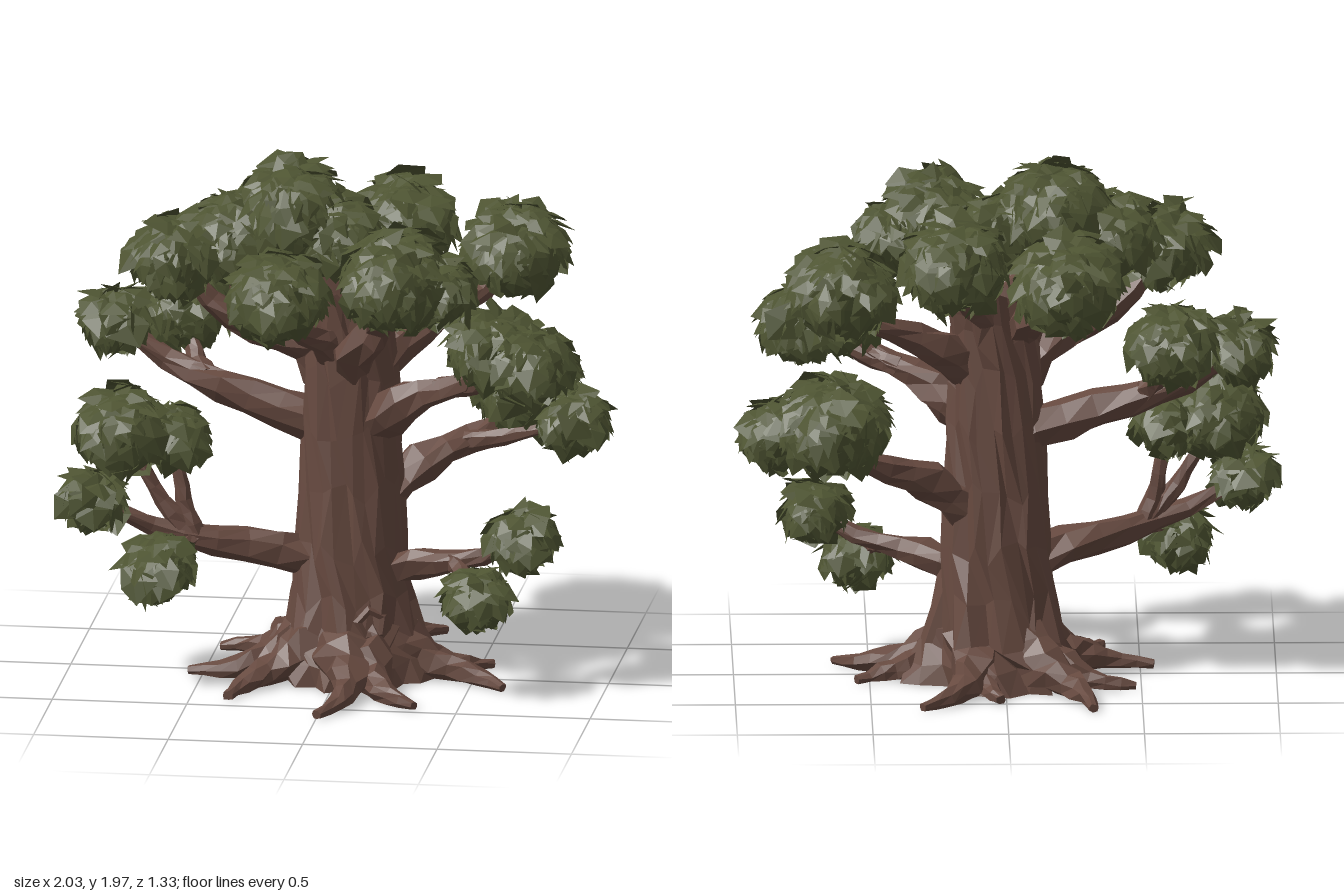
import * as THREE from 'three';

const V = (x, y, z) => new THREE.Vector3(x, y, z);

// Small seeded random generator
let seed = 7;
function rand() {
  seed = (seed * 1664525 + 1013904223) % 4294967296;
  return seed / 4294967296;
}
const jitter = (s) => (rand() * 2 - 1) * s;

function fromTriangles(pos) {
  const g = new THREE.BufferGeometry();
  g.setAttribute('position', new THREE.Float32BufferAttribute(pos, 3));
  g.computeVertexNormals();
  return g;
}

// Skin a list of point rings, closing both ends with a centre point
function loft(rings, startCentre, endCentre) {
  const pos = [];
  const tri = (...pts) => pts.forEach((p) => pos.push(p.x, p.y, p.z));
  const n = rings[0].length;
  const last = rings[rings.length - 1];
  for (let k = 0; k < n; k++) {
    const m = (k + 1) % n;
    for (let i = 0; i < rings.length - 1; i++) {
      const a = rings[i], b = rings[i + 1];
      tri(a[k], a[m], b[k]);
      tri(a[m], b[m], b[k]);
    }
    tri(startCentre, rings[0][m], rings[0][k]);
    tri(endCentre, last[k], last[m]);
  }
  return fromTriangles(pos);
}

// Tapered, knobbly limb along a curve
function limb(curve, r0, r1, grounded = false) {
  const sides = 7, steps = 8;
  const frames = curve.computeFrenetFrames(steps);
  const rings = [];
  for (let i = 0; i <= steps; i++) {
    const t = i / steps;
    const c = curve.getPointAt(t);
    const r = (r1 + (r0 - r1) * Math.pow(1 - t, 1.3)) * (1 + jitter(0.1));
    const ring = [];
    for (let k = 0; k < sides; k++) {
      const a = ((k + jitter(0.25)) / sides) * Math.PI * 2;
      const rr = r * (1 + jitter(0.2));
      const p = c.clone()
        .addScaledVector(frames.normals[i], Math.cos(a) * rr)
        .addScaledVector(frames.binormals[i], Math.sin(a) * rr);
      if (grounded) p.y = Math.max(0, p.y);
      ring.push(p);
    }
    rings.push(ring);
  }
  return loft(rings, curve.getPointAt(0), curve.getPointAt(1));
}

// Root tips on the ground: x, z
const ROOTS = [
  [0.0, 0.64], [0.34, 0.47], [0.63, 0.17], [0.55, -0.16], [0.31, -0.62],
  [0.02, -0.5], [-0.32, -0.65], [-0.48, -0.27], [-0.55, 0.08], [-0.36, 0.42],
];
const CX = 0.035, CZ = -0.06;

// Craggy trunk that flares towards the roots and ends in a ragged hollow
function trunkGeometry() {
  const sides = 26;
  // height, radius, strength of the root lobes
  const profile = [
    [0, 0.27, 0.14], [0.07, 0.26, 0.11], [0.16, 0.238, 0.05], [0.3, 0.218, 0.02], [0.5, 0.2, 0.01],
    [0.72, 0.187, 0], [0.95, 0.177, 0], [1.15, 0.17, 0], [1.32, 0.173, 0], [1.45, 0.182, 0], [1.39, 0.12, 0],
  ];
  const angles = ROOTS.map(([x, z]) => Math.atan2(-(z - CZ), x - CX));
  const rings = profile.map(([y, r, lobe], i) => {
    const ring = [];
    for (let k = 0; k < sides; k++) {
      const a = ((k + (i % 2) * 0.5 + jitter(0.35)) / sides) * Math.PI * 2;
      const near = Math.max(0, ...angles.map((q) => Math.cos(a - q)));
      const groove = (k + i) % 4 === 0 ? -0.08 : 0.03;
      const rr = r * (1 + groove + jitter(0.05)) + lobe * (Math.pow(near, 24) - 0.4);
      const yy = i === 0 ? 0 : y + jitter(i < 3 ? 0.02 : 0.055);
      ring.push(V(CX + Math.cos(a) * rr, yy, CZ - Math.sin(a) * rr));
    }
    return ring;
  });
  return loft(rings, V(CX, 0, CZ), V(CX, 1.36, CZ));
}

// Root that snakes out along the ground to its tip
function rootCurve([x, z], bend) {
  const dx = x - CX, dz = z - CZ;
  const at = (t, y, s) => V(CX + dx * t - dz * s, y, CZ + dz * t + dx * s);
  return new THREE.CatmullRomCurve3([at(0.25, 0.14, 0), at(0.52, 0.06, bend), at(0.78, 0.03, bend), at(1, 0.015, 0)]);
}

// Bough that leaves the trunk, levels out, then turns up into its leaves
function boughCurve(startY, end) {
  const out = [0.05, 0.3, 0.55, 0.78, 1];
  const up = [0, 0.27, 0.5, 0.62, 1];
  const points = out.map((t, i) => {
    const bend = i % 4 ? jitter(0.03) : 0;
    return V(CX + (end.x - CX) * t + bend, startY + (end.y - startY) * up[i] + bend * 0.5, CZ + (end.z - CZ) * t - bend);
  });
  return new THREE.CatmullRomCurve3(points);
}

// Twig that forks off a bough and curves into another cluster
function twigCurve(bough, end) {
  const start = bough.getPointAt(0.58);
  const mid = start.clone().lerp(end, 0.5);
  mid.y -= (end.y - start.y) * 0.12;
  return new THREE.CatmullRomCurve3([start, mid, end]);
}

// Shaggy, lumpy ball of overlapping drooping leaf plates
const LEAF = [[-0.5, -0.3], [-0.42, 0.36], [0.12, 0.5], [0.62, 0.06], [0.2, -0.48]];
function leafGeometry(r) {
  const pos = [];
  const count = Math.round(3200 * r * r) + 25;
  const phase = rand() * 6.28;
  for (let i = 0; i < count; i++) {
    const h = 1 - (2 * (i + 0.5)) / count;
    const a = i * 2.39996 + jitter(0.4);
    const s = Math.sqrt(1 - h * h);
    const n = V(s * Math.cos(a), h, s * Math.sin(a));
    const down = V(jitter(0.7), -1, jitter(0.7));
    const t = down.addScaledVector(n, -down.dot(n)).normalize();
    const b = new THREE.Vector3().crossVectors(t, n);
    const size = 0.085 + rand() * 0.06;
    const lump = 1 + 0.07 * s * Math.sin(3 * a + phase + 2 * h);
    const centre = n.clone().multiplyScalar(r * lump * (0.76 + rand() * 0.18));
    centre.y *= h < 0 ? 0.88 : 0.97;
    const tilt = 0.15 + rand() * 0.55;
    const roll = jitter(0.5);
    const pts = LEAF.map(([u, v]) => centre.clone()
      .addScaledVector(t, u * size)
      .addScaledVector(b, (v + jitter(0.12)) * size)
      .addScaledVector(n, (u * tilt + v * roll - 0.08) * size));
    const mid = centre.clone().addScaledVector(n, 0.06 * size);
    for (let k = 0; k < 5; k++) {
      for (const p of [mid, pts[(k + 1) % 5], pts[k]]) pos.push(p.x, p.y, p.z);
    }
  }
  return fromTriangles(pos);
}

// Each bough: height on the trunk, thickness, then its leaf clusters (x, y, z, radius).
// The first cluster ends the bough, the others sit on twigs.
const BOUGHS = [
  [0.4, 0.1, [-0.88, 0.7, 0.23, 0.12], [-0.78, 0.95, 0.16, 0.18], [-0.6, 0.92, 0.12, 0.13], [-0.64, 0.46, 0.28, 0.13]],
  [0.9, 0.11, [-0.86, 1.27, -0.19, 0.13], [-0.62, 1.31, -0.29, 0.17]],
  [1.08, 0.105, [-0.59, 1.6, 0.1, 0.17], [-0.4, 1.66, 0, 0.18]],
  [0.36, 0.09, [0.7, 0.59, 0.15, 0.12], [0.55, 0.39, 0.28, 0.125]],
  [0.6, 0.11, [0.64, 1.03, -0.39, 0.21], [0.84, 0.95, -0.18, 0.14]],
  [0.92, 0.11, [0.6, 1.32, 0.22, 0.17], [0.75, 1.28, 0.26, 0.16]],
  [1.12, 0.105, [0.6, 1.54, -0.38, 0.2]],
  [1.15, 0.105, [0.26, 1.62, 0.42, 0.22], [0.42, 1.57, 0.36, 0.14]],
  [1.18, 0.08, [-0.18, 1.54, 0.38, 0.19]],
  [1.25, 0.1, [-0.22, 1.56, -0.4, 0.21]],
  [1.25, 0.1, [0.19, 1.63, -0.38, 0.2]],
  [1.25, 0.1, [-0.18, 1.76, -0.03, 0.21], [0, 1.67, 0, 0.16]],
];

export function createModel() {
  seed = 7;
  const tree = new THREE.Group();
  tree.name = 'tree';
  const bark = new THREE.MeshStandardMaterial({ color: 0x674a40, flatShading: true });
  bark.name = 'bark brown';
  const leaves = new THREE.MeshStandardMaterial({ color: 0x4e5432, flatShading: true, side: THREE.DoubleSide });
  leaves.name = 'leaf green';
  const add = (name, geometry, material, parent = tree) => {
    const mesh = new THREE.Mesh(geometry, material);
    mesh.name = name;
    parent.add(mesh);
    return mesh;
  };

  add('trunk', trunkGeometry(), bark);
  ROOTS.forEach((tip, i) => add('root', limb(rootCurve(tip, i % 2 ? 0.08 : -0.08), 0.115, 0.018, true), bark));

  // Knot hollow low on the front of the trunk
  const knot = add('knotHollow', new THREE.TorusGeometry(0.05, 0.018, 5, 5), bark);
  knot.position.set(0.135, 0.235, 0.145);
  knot.rotation.set(-0.1, 0.4, 0.5);

  // Boughs and twigs, each carrying leaf plates around a solid core
  for (const [startY, thickness, ...clusters] of BOUGHS) {
    let bough = null;
    for (const [x, y, z, r] of clusters) {
      const end = V(x, y, z);
      if (bough) {
        add('twig', limb(twigCurve(bough, end), thickness * 0.42, 0.016), bark);
      } else {
        bough = boughCurve(startY, end);
        add('bough', limb(bough, thickness, 0.024), bark);
      }
      const cluster = new THREE.Group();
      cluster.name = 'leafCluster';
      cluster.position.copy(end);
      add('leafCore', new THREE.IcosahedronGeometry(r * 0.72, 1), leaves, cluster);
      add('leafPlates', leafGeometry(r), leaves, cluster);
      tree.add(cluster);
    }
  }
  return tree;
}
